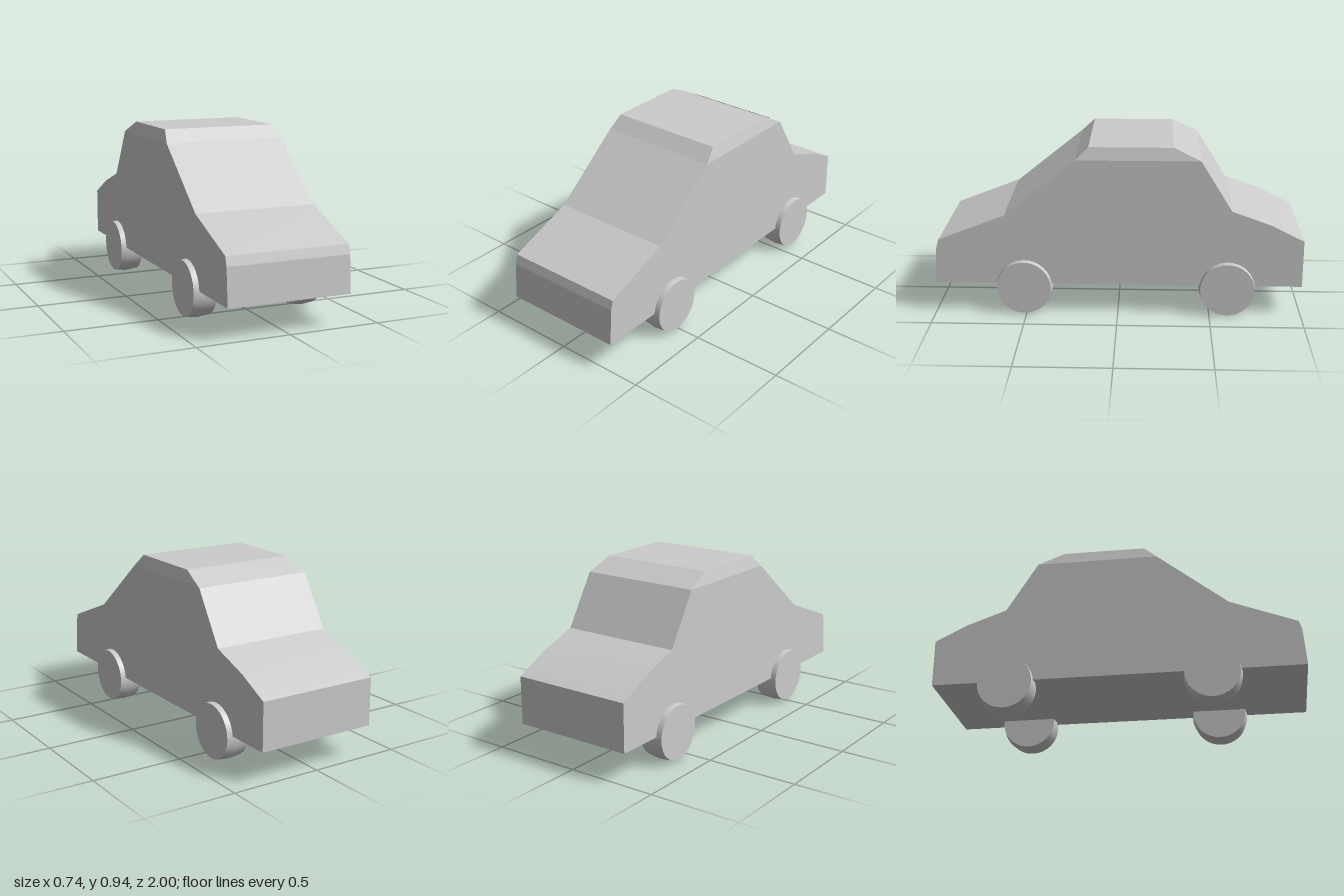
import * as THREE from 'three';
import { toCreasedNormals } from 'three/addons/utils/BufferGeometryUtils.js';
import { ConvexGeometry } from 'three/addons/geometries/ConvexGeometry.js';

const HALF = 0.338; // half width of the body

export function createModel() {
  const car = new THREE.Group();
  car.name = 'car';
  const paint = new THREE.MeshStandardMaterial({ color: 0xcccccc });
  const glass = new THREE.MeshStandardMaterial({ color: 0xeeeeee, side: THREE.DoubleSide });

  const add = (name, geometry, material) => {
    const mesh = new THREE.Mesh(geometry, material);
    mesh.name = name;
    car.add(mesh);
    return mesh;
  };

  // Body: side profile (z, y) extruded across the width
  const profile = [
    [1, 0.17], [0.985, 0.37], [0.97, 0.42], [0.61, 0.56], [0.225, 0.87],
    [-0.44, 0.87], [-0.61, 0.595], [-0.82, 0.52], [-1, 0.43], [-1, 0.17],
  ].map(([z, y]) => new THREE.Vector2(z, y));
  const bodyGeo = new THREE.ExtrudeGeometry(new THREE.Shape(profile), { depth: HALF * 2, bevelEnabled: false });
  bodyGeo.rotateY(-Math.PI / 2).translate(HALF, 0, 0);
  add('body', toCreasedNormals(bodyGeo, 0.2), paint);

  // Roof: tapered cap on top of the cabin
  const roofPoints = [];
  for (const s of [-1, 1]) {
    for (const [x, y, z] of [[HALF, 0.87, 0.225], [HALF, 0.87, -0.44], [0.32, 0.938, 0.155], [0.32, 0.938, -0.295]]) {
      roofPoints.push(new THREE.Vector3(s * x, y, z));
    }
  }
  add('roof', new ConvexGeometry(roofPoints), paint);

  // Flat window panes, each a fan of triangles lying just off the body
  const pane = (name, corners) => {
    const geo = new THREE.BufferGeometry();
    geo.setAttribute('position', new THREE.Float32BufferAttribute(corners.flat(), 3));
    const index = [];
    for (let i = 1; i < corners.length - 1; i++) index.push(0, i, i + 1);
    geo.setIndex(index);
    geo.computeVertexNormals();
    return add(name, geo, glass);
  };
  pane('windshield', [[-0.27, 0.56, 0.61], [0.26, 0.56, 0.61], [0.265, 0.87, 0.225], [-0.265, 0.87, 0.225]])
    .position.set(0, 0.002, 0.0015);
  pane('rearWindow', [[0.26, 0.595, -0.61], [-0.27, 0.595, -0.61], [-0.265, 0.87, -0.44], [0.265, 0.87, -0.44]])
    .position.set(0, 0.0015, -0.002);

  const sideWindows = {
    FrontSideWindow: [[0.615, 0.52], [0.185, 0.54], [0.185, 0.825]],
    RearSideWindow: [[0.14, 0.54], [-0.61, 0.545], [-0.365, 0.82], [0.14, 0.825]],
  };
  for (const [side, s] of [['left', 1], ['right', -1]]) {
    for (const [name, outline] of Object.entries(sideWindows)) {
      pane(side + name, outline.map(([z, y]) => [s * (HALF + 0.002), y, z]));
    }
  }

  // Wheels: discs with a slightly crowned tread
  const tread = [[0, -0.064], [0.147, -0.064], [0.155, 0], [0.147, 0.064], [0, 0.064]]
    .map(([r, h]) => new THREE.Vector2(r, h));
  const wheelGeo = toCreasedNormals(new THREE.LatheGeometry(tread, 32).rotateZ(Math.PI / 2), 0.6);
  for (const [side, s] of [['Left', 1], ['Right', -1]]) {
    for (const [end, z] of [['front', 0.51], ['rear', -0.595]]) {
      add(end + side + 'Wheel', wheelGeo, paint).position.set(s * 0.304, 0.155, z);
    }
  }

  return car;
}
